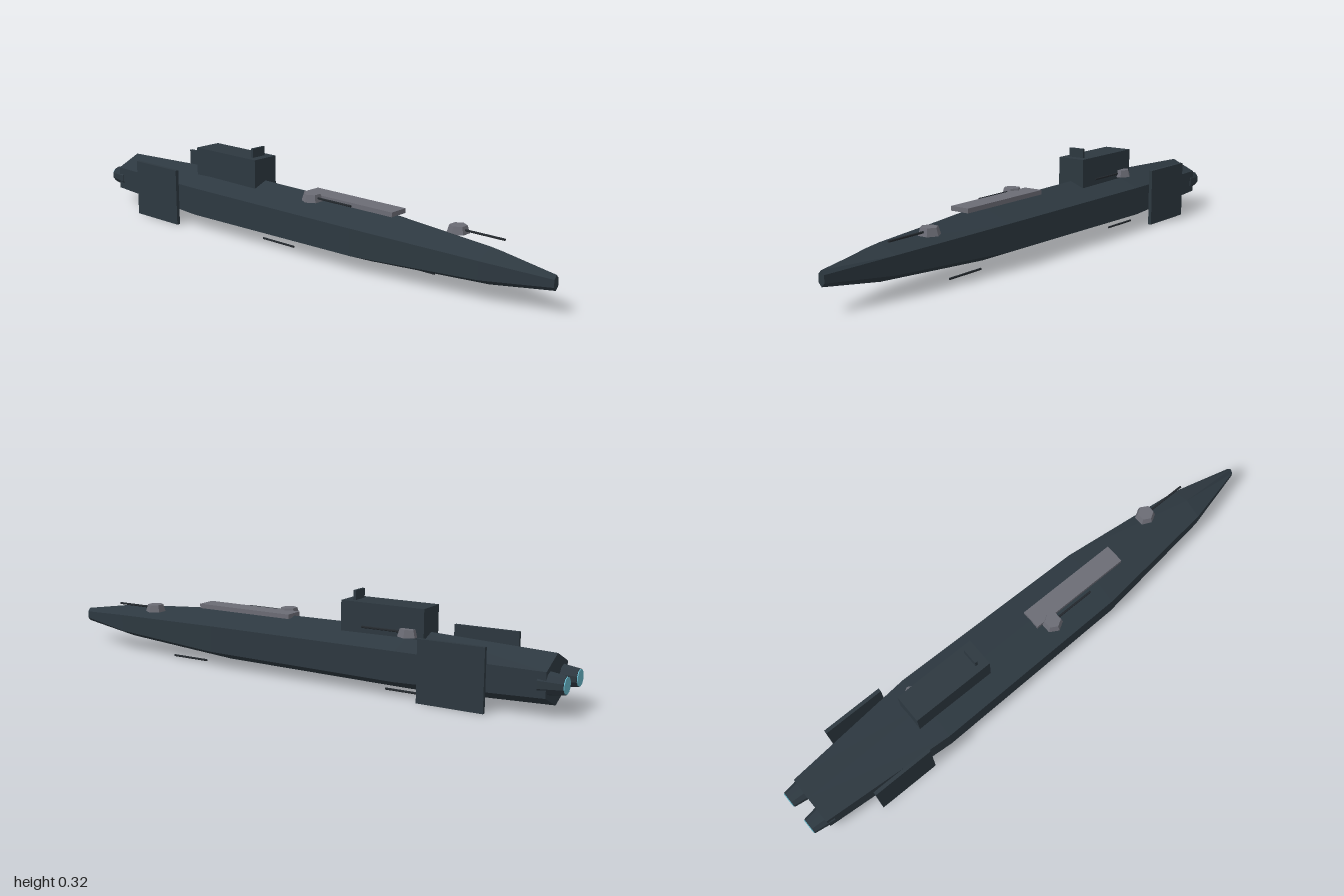
import * as THREE from 'three';

const mat = (name, color, extra = {}) => {
  const m = new THREE.MeshStandardMaterial({ color, flatShading: true, ...extra });
  m.name = name;
  return m;
};

// Hull: hexagonal sections [z, half width, half height] from tail to nose
function hullGeometry(sections, cy) {
  const pos = [];
  const point = ([z, w, h], j) => {
    const a = (j * Math.PI) / 3;
    return [(Math.sin(a) * w) / Math.sin(Math.PI / 3), cy + Math.cos(a) * h, z];
  };
  const tri = (...pts) => pts.forEach((p) => pos.push(...p));
  const tail = sections[0], nose = sections[sections.length - 1];
  for (let j = 0; j < 6; j++) {
    for (let i = 0; i < sections.length - 1; i++) {
      const a = point(sections[i], j), b = point(sections[i], j + 1);
      const c = point(sections[i + 1], j), d = point(sections[i + 1], j + 1);
      tri(a, c, b);
      tri(b, c, d);
    }
    tri([0, cy, tail[0]], point(tail, j), point(tail, j + 1));
    tri([0, cy, nose[0]], point(nose, j + 1), point(nose, j));
  }
  const g = new THREE.BufferGeometry();
  g.setAttribute('position', new THREE.Float32BufferAttribute(pos, 3));
  g.computeVertexNormals();
  return g;
}

export function createModel() {
  const model = new THREE.Group();
  model.name = 'armedShip';
  const hullMat = mat('hull dark slate', 0x2d3840);
  const gunMat = mat('gunmetal grey', 0x6b6c75);
  const barrelMat = mat('barrel black', 0x23282d);
  const glowMat = mat('engine glow', 0x66b4c6);

  const add = (name, geo, material, x, y, z, parent = model) => {
    const m = new THREE.Mesh(geo, material);
    m.name = name;
    m.position.set(x, y, z);
    parent.add(m);
    return m;
  };
  const box = (name, w, h, d, material, x, y, z) =>
    add(name, new THREE.BoxGeometry(w, h, d), material, x, y, z);

  add('hull', hullGeometry([
    [-0.945, 0.092, 0.083],
    [-0.45, 0.13, 0.102],
    [0.3, 0.117, 0.094],
    [0.77, 0.066, 0.061],
    [1.0, 0.012, 0.025],
  ], 0.105), hullMat, 0, 0, 0);

  // Tower with its mast plate, and the deck panel
  box('tower', 0.106, 0.108, 0.31, hullMat, 0, 0.234, -0.36);
  box('mast', 0.06, 0.034, 0.01, hullMat, 0, 0.304, -0.243);
  box('deckPanel', 0.072, 0.016, 0.39, gunMat, 0, 0.203, 0.215);

  // Side fins and tail engines
  for (const s of [-1, 1]) {
    box('sideFin', 0.013, 0.21, 0.23, hullMat, s * 0.1365, 0.105, -0.652);
    const nozzle = new THREE.CylinderGeometry(0.042, 0.03, 0.08, 10).rotateX(Math.PI / 2);
    add('engineNozzle', nozzle, hullMat, s * 0.058, 0.105, -0.957);
    const glow = new THREE.CylinderGeometry(0.028, 0.028, 0.004, 10).rotateX(Math.PI / 2);
    add('engineGlow', glow, glowMat, s * 0.058, 0.105, -0.998);
  }

  // Deck turrets: tapered hexagonal mounts with a forward barrel
  const barrel = (x, y, z0, z1, parent) => add('gunBarrel',
    new THREE.CylinderGeometry(0.004, 0.004, z1 - z0, 6).rotateX(Math.PI / 2),
    barrelMat, x, y, (z0 + z1) / 2, parent);
  for (const [x, y, z] of [[0.053, 0.179, 0.61], [-0.053, 0.205, 0.075], [0.053, 0.205, -0.46]]) {
    const turret = new THREE.Group();
    turret.name = 'turret';
    turret.position.set(x, y, z);
    model.add(turret);
    add('turretMount', new THREE.CylinderGeometry(0.029, 0.037, 0.026, 6).rotateY(Math.PI / 6),
      gunMat, 0, 0, 0, turret);
    barrel(0, 0, 0, 0.175, turret);
  }

  // Barrels beneath the keel
  for (const [x, z] of [[0.053, 0.37], [-0.053, -0.165], [0.053, -0.53]])
    barrel(x, 0.006, z, z + 0.152, model);

  return model;
}
